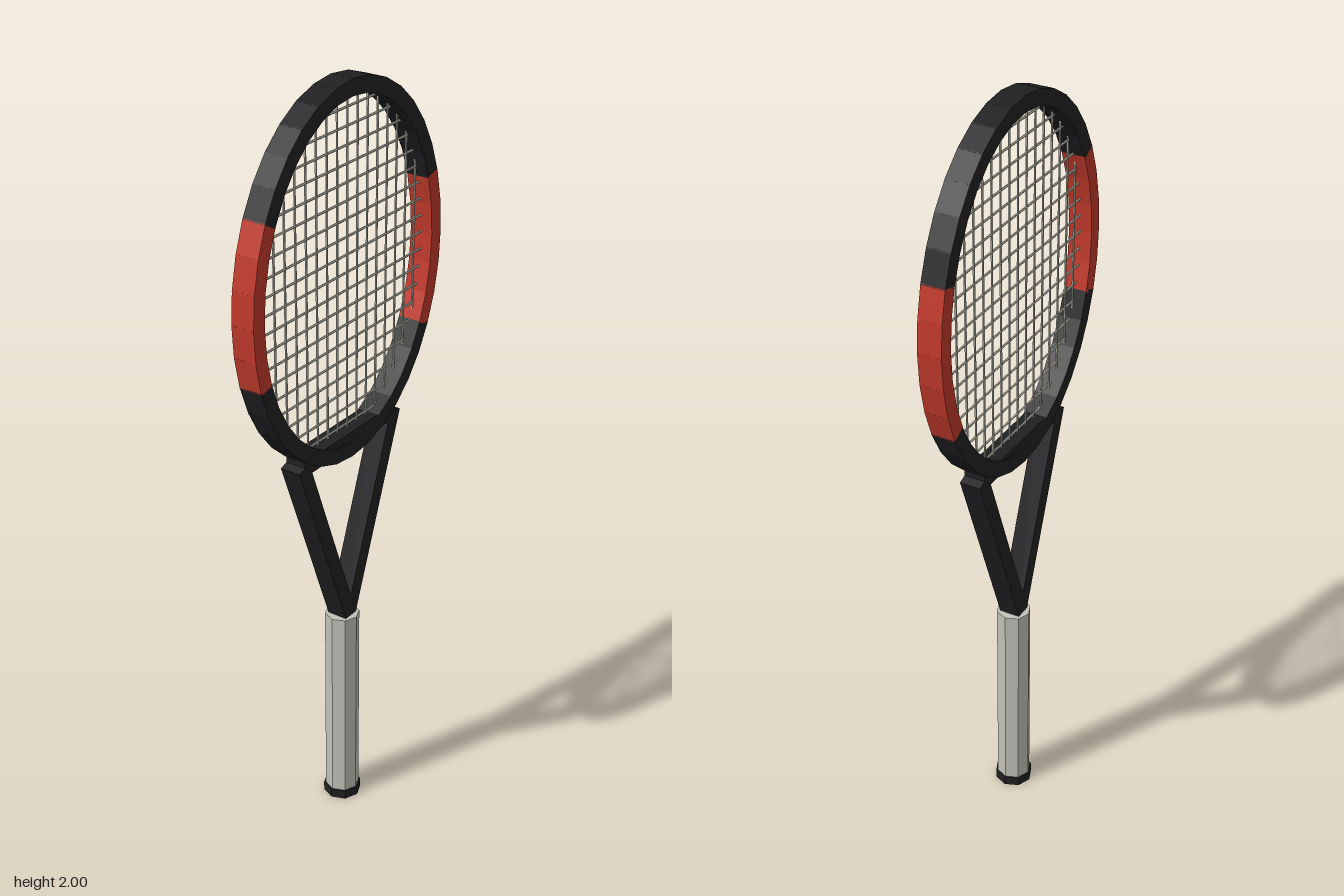
import * as THREE from 'three';

const CY = 1.525, RX = 0.355, RY = 0.455; // centre line of the oval head
const paint = (color) => new THREE.MeshStandardMaterial({ color, flatShading: true });

export function createModel() {
  const black = paint(0x202023), red = paint(0xc0392b);
  const grip = paint(0xc0c0b8), gut = paint(0xc8c8ba);
  const racket = new THREE.Group();
  racket.name = 'racket';

  const add = (parent, name, geometry, material, x, y, rotZ = 0) => {
    const mesh = new THREE.Mesh(geometry, material);
    mesh.name = name;
    mesh.position.set(x, y, 0);
    mesh.rotation.z = rotZ;
    parent.add(mesh);
    return mesh;
  };
  // Box running from point a to point b in the racket plane
  const bar = (parent, name, a, b, width, depth, material, extra = 0) => {
    const d = b.clone().sub(a);
    const geometry = new THREE.BoxGeometry(d.length() + extra, width, depth);
    return add(parent, name, geometry, material, (a.x + b.x) / 2, (a.y + b.y) / 2, Math.atan2(d.y, d.x));
  };

  // Octagonal handle and butt cap
  add(racket, 'handle', new THREE.CylinderGeometry(0.045, 0.045, 0.56, 8), grip, 0, 0.3);
  add(racket, 'buttCap', new THREE.CylinderGeometry(0.05, 0.05, 0.025, 8), black, 0, 0.0125);

  // Forked throat and the bridge that closes the head
  for (const s of [1, -1]) {
    bar(racket, s > 0 ? 'leftThroat' : 'rightThroat',
      new THREE.Vector2(0, 0.58), new THREE.Vector2(s * 0.192, 1.1), 0.042, 0.055, black);
  }
  add(racket, 'throatBridge', new THREE.BoxGeometry(0.38, 0.04, 0.055), black, 0, 1.096);

  // Oval head of 36 straight segments, with a red stretch on each side
  const head = new THREE.Group();
  head.name = 'headFrame';
  racket.add(head);
  const N = 36;
  const rim = (i) => {
    const t = (i / N) * Math.PI * 2;
    return new THREE.Vector2(RX * Math.cos(t), CY + RY * Math.sin(t));
  };
  for (let i = 0; i < N; i++) {
    const isRed = (i + 3) % (N / 2) < 5;
    bar(head, 'frameSegment', rim(i), rim(i + 1), 0.04, 0.062, isRed ? red : black, 0.006);
  }

  // String bed: 16 mains and 19 crosses trimmed to the oval
  const strings = new THREE.Group();
  strings.name = 'strings';
  racket.add(strings);
  const thread = (length) => new THREE.CylinderGeometry(0.003, 0.003, length, 6);
  for (let i = 0; i < 16; i++) {
    const x = (i - 7.5) * 0.04;
    add(strings, 'mainString', thread(2 * RY * Math.sqrt(1 - (x / RX) ** 2)), gut, x, CY);
  }
  for (let i = 0; i < 19; i++) {
    const y = (i - 9) * 0.0445;
    add(strings, 'crossString', thread(2 * RX * Math.sqrt(1 - (y / RY) ** 2)), gut, 0, CY + y, Math.PI / 2);
  }
  return racket;
}
